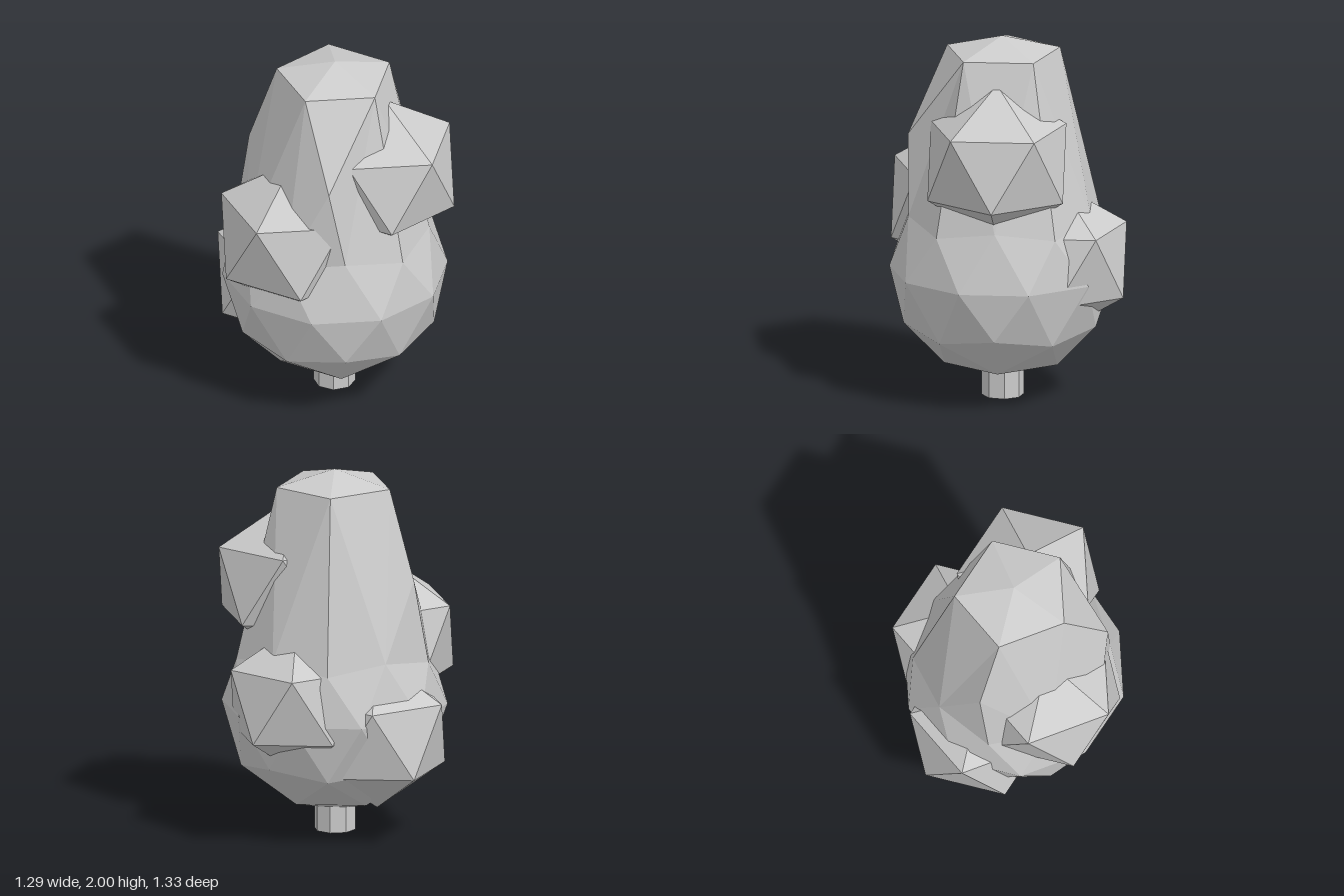
import * as THREE from 'three';

const mat = new THREE.MeshStandardMaterial({ color: 0xcccccc, flatShading: true });
const CX = 0.03, R = 0.61, CY = 0.705;

// Point on a ring: angle in degrees from +x towards +z
function ringPoint(deg, radius, y, cx = 0, cz = 0) {
  const a = THREE.MathUtils.degToRad(deg);
  return new THREE.Vector3(cx + radius * Math.cos(a), y, cz + radius * Math.sin(a));
}

// Collects triangles, turning each one outward from the vertical axis at cx, cz
function makeFaceted(triangles, cx, cz, yLow, yHigh) {
  const out = [];
  for (const [a, b, c] of triangles) {
    const mid = a.clone().add(b).add(c).divideScalar(3);
    const inside = new THREE.Vector3(cx, THREE.MathUtils.clamp(mid.y, yLow, yHigh), cz);
    const n = b.clone().sub(a).cross(c.clone().sub(a));
    const order = n.dot(mid.sub(inside)) > 0 ? [a, b, c] : [a, c, b];
    for (const p of order) out.push(p.x, p.y, p.z);
  }
  const geo = new THREE.BufferGeometry();
  geo.setAttribute('position', new THREE.Float32BufferAttribute(out, 3));
  geo.computeVertexNormals();
  return geo;
}

// Half of a once-subdivided icosphere; the cap is raised by lift
function halfSphere(sign, offset, lift) {
  const tris = [];
  const p = (deg, r, h, up = 0) => ringPoint(deg + offset, R * r, CY + sign * R * h + up, CX, -0.005);
  const apex = p(0, 0, 0.972, lift);
  for (let k = 0; k < 5; k++) {
    const d = 72 * k;
    const t0 = p(d, 0.526, 0.835, lift), t1 = p(d + 72, 0.526, 0.835, lift);
    const v0 = p(d, 0.894, 0.447), v1 = p(d + 72, 0.894, 0.447);
    const m = p(d + 36, 0.851, 0.526);
    const ePrev = p(d - 18, 1, 0), e0 = p(d + 18, 1, 0), e1 = p(d + 54, 1, 0);
    tris.push([apex, t0, t1], [t0, m, t1], [t0, v0, m], [t1, m, v1],
      [v0, e0, m], [m, e0, e1], [m, e1, v1], [ePrev, v0, e0]);
  }
  return tris;
}

// Splits the edge a-b of a triangle list at the point q
function splitEdge(tris, a, b, q) {
  const near = (u, v) => u.distanceTo(v) < 1e-4;
  return tris.flatMap((t) => {
    const i = t.findIndex((v) => near(v, a)), j = t.findIndex((v) => near(v, b));
    if (i < 0 || j < 0) return [t];
    const first = t.slice(), second = t.slice();
    first[i] = q;
    second[j] = q;
    return [first, second];
  });
}

// Plain icosahedron standing on one of its corners
function icosahedron(cx, cy, cz, r) {
  const tris = [];
  const top = ringPoint(0, 0, cy + r, cx, cz), bottom = ringPoint(0, 0, cy - r, cx, cz);
  for (let k = 0; k < 5; k++) {
    const d = 72 * k, rr = r * 0.8944, h = r * 0.4472;
    const u0 = ringPoint(d, rr, cy + h, cx, cz), u1 = ringPoint(d + 72, rr, cy + h, cx, cz);
    const l0 = ringPoint(d + 36, rr, cy - h, cx, cz), l1 = ringPoint(d + 108, rr, cy - h, cx, cz);
    tris.push([top, u0, u1], [u0, l0, u1], [u1, l0, l1], [bottom, l0, l1]);
  }
  return makeFaceted(tris, cx, cz, cy, cy);
}

export function createModel() {
  const group = new THREE.Group();
  const add = (name, geo) => {
    const mesh = new THREE.Mesh(geo, mat);
    mesh.name = name;
    group.add(mesh);
    return mesh;
  };

  // Crown: round below, drawn up into a tall tapering top
  const lift = 0.702;
  let upper = halfSphere(1, 0, lift);
  const capY = CY + R * 0.835 + lift;
  const cap = (deg) => ringPoint(deg, R * 0.526, capY, CX, -0.005);
  // Two corners on the front ridges
  upper = splitEdge(upper, cap(72), ringPoint(36, R * 0.851, CY + R * 0.526, CX, -0.005),
    new THREE.Vector3(0.385, 1.46, 0.36));
  upper = splitEdge(upper, cap(144), ringPoint(144, R * 0.894, CY + R * 0.447, CX, -0.005),
    new THREE.Vector3(-0.4, 1.44, 0.23));
  add('crown', makeFaceted([...upper, ...halfSphere(-1, 36, 0)], CX, 0, 0.7, 1.4));

  // Leaf clumps set into the crown
  const clumps = [
    ['frontClump', 0.018, 1.04, 0.289, 0.441],
    ['leftClump', 0.255, 1.367, -0.16, 0.43],
    ['rightClump', -0.275, 0.592, 0.075, 0.42],
    ['backClump', -0.087, 0.788, -0.317, 0.41],
  ];
  for (const [name, x, y, z, r] of clumps) add(name, icosahedron(x, y, z, r));

  // Trunk
  const trunk = new THREE.CylinderGeometry(0.114, 0.114, 0.3, 8);
  trunk.translate(0.026, 0.15, -0.005);
  add('trunk', trunk);

  return group;
}
